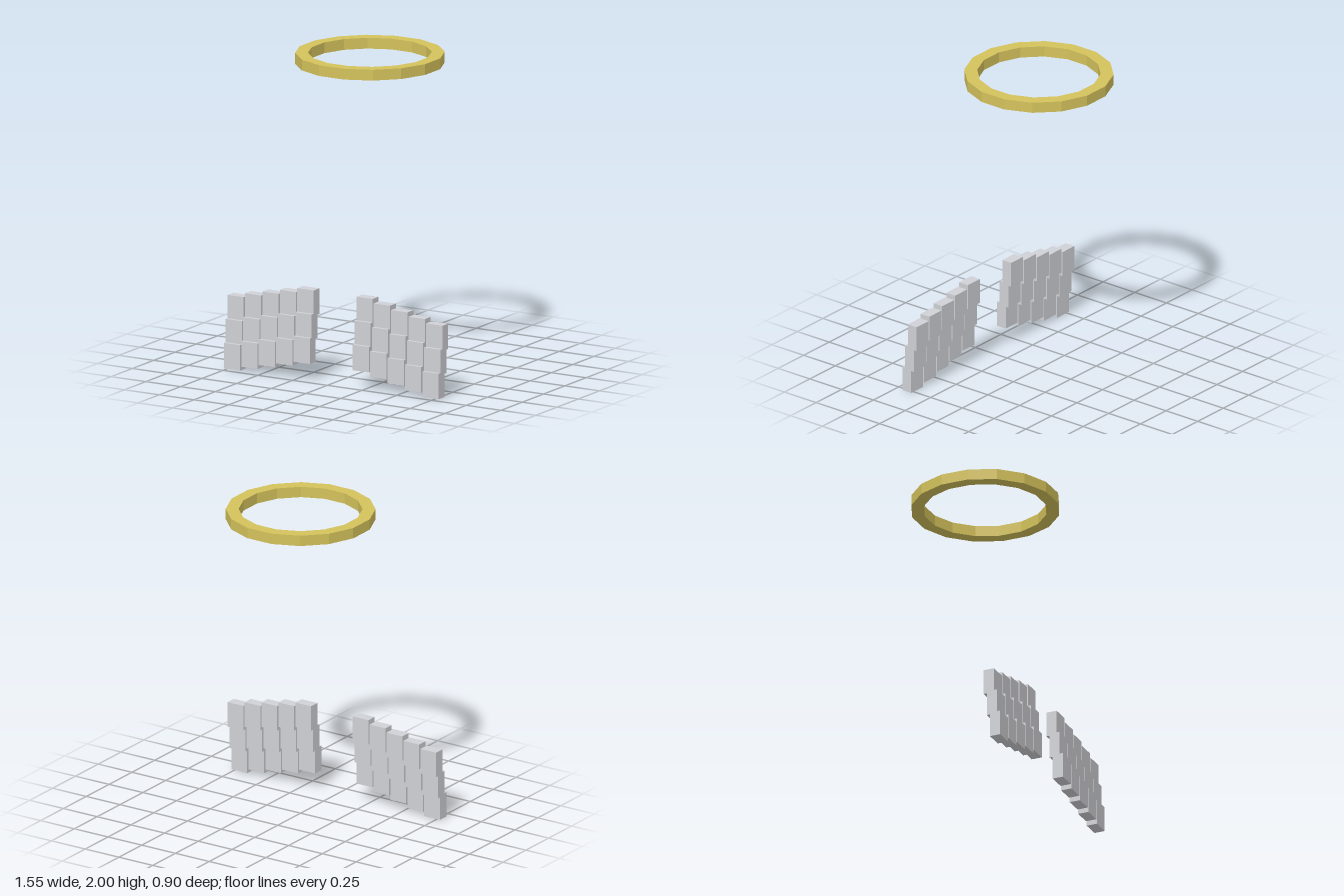
import * as THREE from 'three';

export function createModel() {
  const model = new THREE.Group();

  const gold = new THREE.MeshStandardMaterial({ color: 0xd4c25c });
  gold.name = 'gold';
  const grey = new THREE.MeshStandardMaterial({ color: 0xd0d1d6 });
  grey.name = 'light grey';

  // Floating ring: 16 flat sides with a square cross-section
  const sides = 16;
  const corner = 1 / Math.cos(Math.PI / sides);
  const outer = 0.451 * corner, inner = 0.373 * corner;
  const profile = [
    [inner, 1.932], [outer, 1.932], [outer, 2], [inner, 2], [inner, 1.932],
  ].map(([r, y]) => new THREE.Vector2(r, y));
  const ringGeometry = new THREE.LatheGeometry(profile, sides, Math.PI / sides).toNonIndexed();
  ringGeometry.computeVertexNormals();
  const ring = new THREE.Mesh(ringGeometry, gold);
  ring.name = 'ring';
  model.add(ring);

  // Two stepped panels of overlapping plates, mirrored left and right
  const plate = new THREE.BoxGeometry(0.117, 0.161, 0.069);
  for (const side of [1, -1]) {
    const panel = new THREE.Group();
    panel.name = side > 0 ? 'leftPlatePanel' : 'rightPlatePanel';
    for (let column = 0; column < 5; column++) {
      for (let row = 0; row < 3; row++) {
        const mesh = new THREE.Mesh(plate, grey);
        mesh.name = 'plate';
        // Lower rows sit further forward; outer columns hang lower
        mesh.position.set(
          side * (0.2125 + column * 0.1255),
          0.4805 - column * 0.0264 - row * 0.147,
          0.3765 + row * 0.0213,
        );
        panel.add(mesh);
      }
    }
    model.add(panel);
  }

  return model;
}
